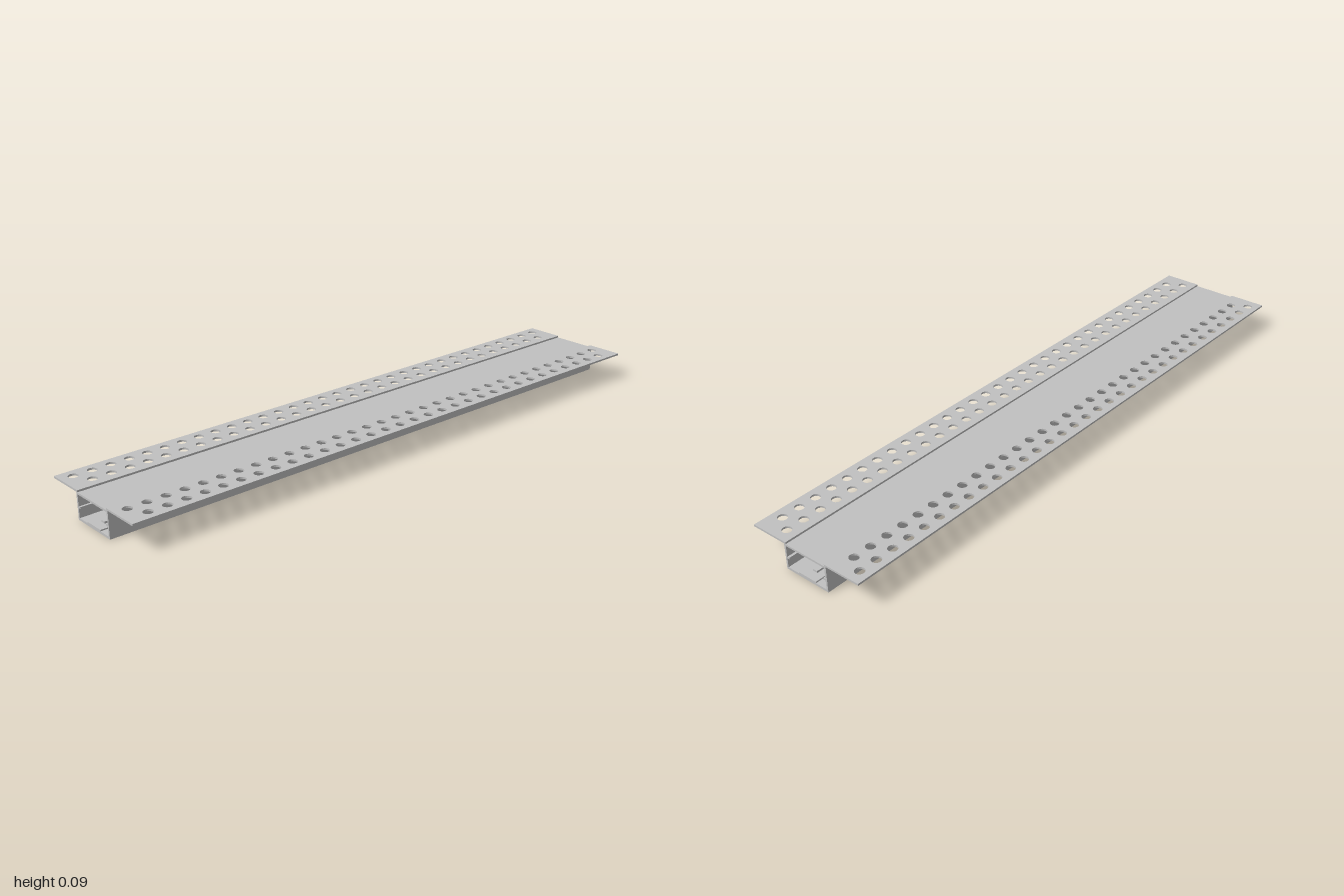
import * as THREE from 'three';

const LENGTH = 2;
const PITCH = 0.06;

export function createModel() {
  const model = new THREE.Group();
  model.name = 'recessedLightChannel';
  const metal = new THREE.MeshStandardMaterial({ color: 0xc0c0c0 });
  metal.name = 'light grey';

  const add = (name, geometry, x = 0, y = 0, z = 0) => {
    const mesh = new THREE.Mesh(geometry, metal);
    mesh.name = name;
    mesh.position.set(x, y, z);
    model.add(mesh);
    return mesh;
  };
  // Box given by its x and y limits, centred on z
  const bar = (name, x0, x1, y0, y1, depth = LENGTH, z = 0) =>
    add(name, new THREE.BoxGeometry(x1 - x0, y1 - y0, depth), (x0 + x1) / 2, (y0 + y1) / 2, z);

  // U-shaped channel running the full length
  const section = new THREE.Shape([
    [-0.08, 0], [0.08, 0], [0.08, 0.09], [0.074, 0.09],
    [0.074, 0.007], [-0.074, 0.007], [-0.074, 0.09], [-0.08, 0.09],
  ].map(([x, y]) => new THREE.Vector2(x, y)));
  add('channel', new THREE.ExtrudeGeometry(section, { depth: LENGTH, bevelEnabled: false }), 0, 0, -LENGTH / 2);

  // Flange with two staggered rows of holes
  const flange = (name, x0, x1, longRow, shortRow) => {
    const plate = new THREE.Shape([
      new THREE.Vector2(x0, -1), new THREE.Vector2(x1, -1),
      new THREE.Vector2(x1, 1), new THREE.Vector2(x0, 1),
    ]);
    for (const [x, count] of [[longRow, 33], [shortRow, 32]]) {
      for (let i = 0; i < count; i++) {
        const hole = new THREE.Path();
        hole.absarc(x, (i - (count - 1) / 2) * PITCH, 0.015, 0, Math.PI * 2, true);
        plate.holes.push(hole);
      }
    }
    const geometry = new THREE.ExtrudeGeometry(plate, { depth: 0.006, bevelEnabled: false, curveSegments: 10 });
    geometry.rotateX(-Math.PI / 2);
    add(name, geometry, 0, 0.084, 0);
  };
  flange('rightFlange', -0.2, -0.08, -0.165, -0.113);
  flange('leftFlange', 0.08, 0.2, 0.113, 0.165);

  // Diffuser cover between the walls
  bar('cover', -0.074, 0.074, 0.078, 0.084);

  // Inner retaining ribs
  bar('rightRib', -0.074, -0.066, 0.037, 0.042);
  bar('leftRib', 0.066, 0.074, 0.037, 0.042);

  // Light strip with a row of chips
  bar('lightStrip', -0.033, 0.033, 0.007, 0.011);
  for (let i = 0; i < 33; i++) {
    bar('lightChip', -0.008, 0.008, 0.011, 0.017, 0.024, (i - 16) * PITCH);
  }

  return model;
}
